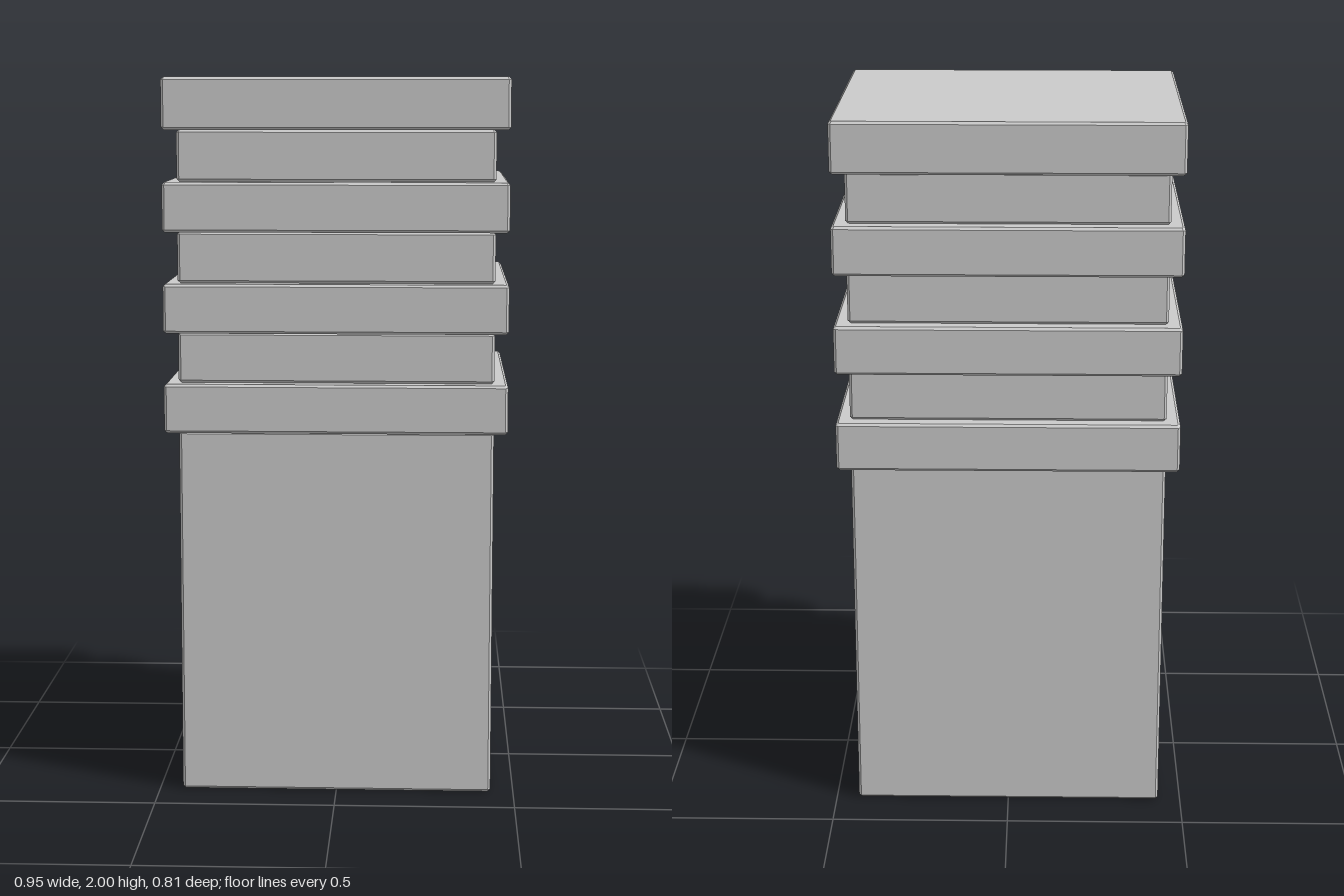
import * as THREE from 'three';

const material = new THREE.MeshStandardMaterial({ color: 0xcccccc, flatShading: true });
const CHAMFER = 0.007;

// Box from y0 to y1 with every edge chamfered
function chamferedBox(name, width, depth, y0, y1) {
  const c = CHAMFER, x = width / 2, z = depth / 2;
  const outline = new THREE.Shape([
    [x, c - z], [x, z - c], [x - c, z], [c - x, z],
    [-x, z - c], [-x, c - z], [c - x, -z], [x - c, -z],
  ].map(([a, b]) => new THREE.Vector2(a, b)));
  const geometry = new THREE.ExtrudeGeometry(outline, {
    depth: y1 - y0 - 2 * c,
    bevelEnabled: true, bevelThickness: c, bevelSize: c, bevelOffset: -c, bevelSegments: 1,
  });
  geometry.rotateX(-Math.PI / 2).translate(0, y0 + c, 0);
  const mesh = new THREE.Mesh(geometry, material);
  mesh.name = name;
  return mesh;
}

export function createModel() {
  const model = new THREE.Group();
  model.name = 'bandedPillar';

  // Bottom and top height of each projecting band
  const bands = [[1.028, 1.164], [1.304, 1.44], [1.581, 1.717], [1.858, 2]];

  // Core segments (shaft, then necks) alternate with the bands
  let y = 0;
  bands.forEach(([y0, y1], i) => {
    model.add(chamferedBox(i === 0 ? 'shaft' : `neck${i}`, 0.872, 0.732, y, y0));
    model.add(chamferedBox(i === bands.length - 1 ? 'cap' : `band${i + 1}`, 0.946, 0.806, y0, y1));
    y = y1;
  });
  return model;
}
